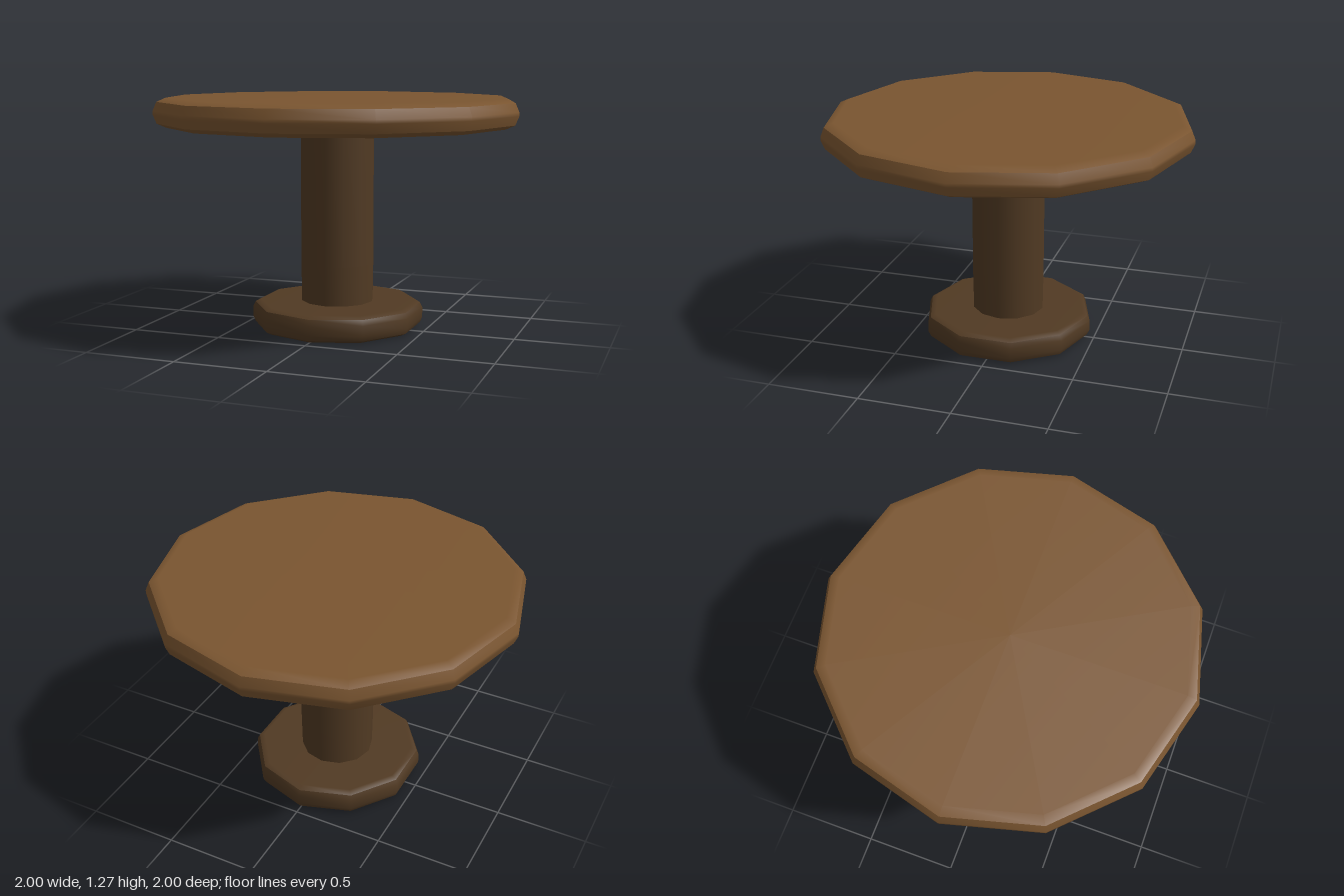
import * as THREE from 'three';

const topWood = new THREE.MeshStandardMaterial({ color: 0x7a5530 });
const legWood = new THREE.MeshStandardMaterial({ color: 0x513a23 });

// Turned part; a repeated profile point makes a sharp ring
function turned(name, profile, sides, material) {
  const points = profile.map(([r, y]) => new THREE.Vector2(r, y));
  const mesh = new THREE.Mesh(new THREE.LatheGeometry(points, sides), material);
  mesh.name = name;
  return mesh;
}

// Disc with a rounded rim, mirrored about its mid height
function disc(name, radius, bottom, top, steps, sides, material) {
  const lower = [[0, bottom]];
  for (const [inset, rise, sharp] of steps) {
    const p = [radius - inset, bottom + rise];
    lower.push(p);
    if (sharp) lower.push(p);
  }
  const upper = lower.map(([r, y]) => [r, bottom + top - y]).reverse();
  return turned(name, [...lower, ...upper], sides, material);
}

export function createModel() {
  const table = new THREE.Group();
  table.name = 'pedestalTable';

  // Twelve-sided top
  table.add(disc('tableTop', 1, 1.115, 1.275,
    [[0.07, 0], [0.02, 0.022, true], [0, 0.07]], 12, topWood));

  // Round column, ends hidden inside the top and the foot
  table.add(turned('column',
    [[0, 0.1], [0.2, 0.1], [0.2, 0.1], [0.204, 0.36], [0.204, 1.15], [0.204, 1.15], [0, 1.15]],
    12, legWood));

  // Ten-sided foot
  table.add(disc('foot', 0.475, 0, 0.145,
    [[0.045, 0], [0.014, 0.015, true], [0, 0.045]], 10, legWood));

  return table;
}
